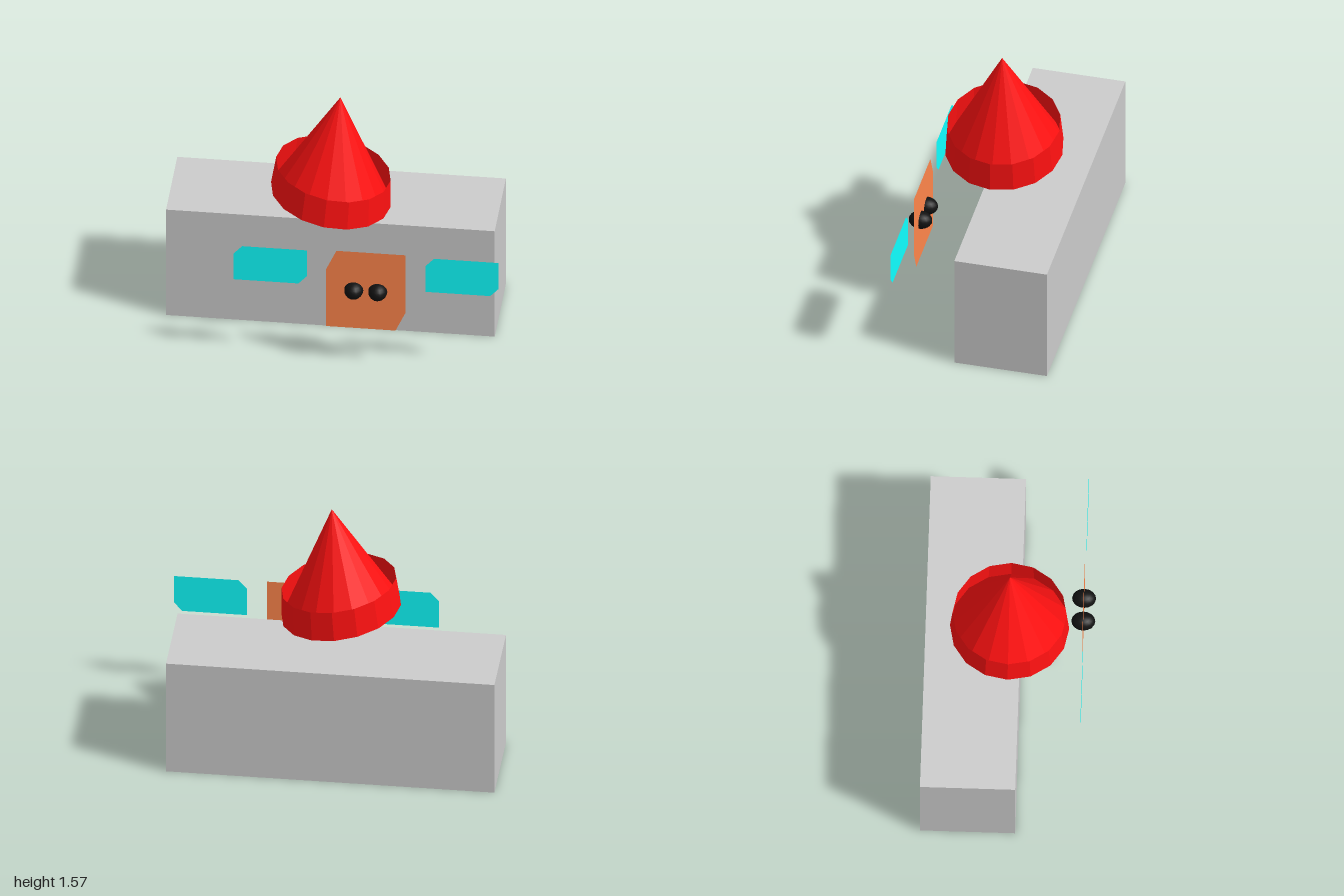
import * as THREE from 'three';

const material = (color, extra = {}) => {
  const m = new THREE.MeshStandardMaterial({ color, side: THREE.DoubleSide, ...extra });
  return m;
};

export function createModel() {
  const model = new THREE.Group();
  const red = material(0xff1111, { flatShading: true });
  const cyan = material(0x0fffff);
  const orange = material(0xff864b);
  const black = material(0x111111);

  const add = (name, geometry, mat) => {
    const mesh = new THREE.Mesh(geometry, mat);
    mesh.name = name;
    model.add(mesh);
    return mesh;
  };

  // Long block body
  const body = new THREE.BoxGeometry(1.93, 0.74, 0.556);
  add('body', body, new THREE.MeshStandardMaterial({ color: 0xcccccc }))
    .position.set(-0.035, 0.37, -0.214);

  // Flat panel with its top-left and bottom-right corners cut off
  const panel = (name, x0, x1, y0, y1, cutX, cutY, z, mat) => {
    const shape = new THREE.Shape([
      [x0, y0], [x1 - cutX, y0], [x1, y0 + cutY],
      [x1, y1], [x0 + cutX, y1], [x0, y1 - cutY],
    ].map(([x, y]) => new THREE.Vector2(x, y)));
    add(name, new THREE.ShapeGeometry(shape), mat).position.z = z;
  };
  panel('rightWindow', -0.56, -0.13, 0.53, 0.766, 0.05, 0.055, 0.43, cyan);
  panel('leftWindow', 0.567, 0.997, 0.53, 0.766, 0.05, 0.055, 0.43, cyan);
  panel('door', -0.017, 0.45, 0.24, 0.773, 0.06, 0.132, 0.424, orange);

  // Pair of knobs on the door
  for (const [name, x] of [['rightKnob', 0.145], ['leftKnob', 0.286]]) {
    const knob = add(name, new THREE.SphereGeometry(1, 16, 12), black);
    knob.scale.set(0.056, 0.052, 0.07);
    knob.position.set(x, 0.507, 0.424);
  }

  // Tilted, slightly skewed hat: unit shapes on a slanted base ring
  const slant = (geometry, axisX, axisY) => {
    geometry.translate(0, 0.5, 0);
    const m = new THREE.Matrix4().makeBasis(
      new THREE.Vector3(0.351, -0.06, 0),
      new THREE.Vector3(axisX, axisY, 0),
      new THREE.Vector3(0, 0, 0.348),
    ).setPosition(-0.04, 0.88, 0);
    return geometry.applyMatrix4(m);
  };
  add('hatCone', slant(new THREE.ConeGeometry(1, 1, 16), 0.056, 0.686), red);
  add('hatBrim', slant(new THREE.CylinderGeometry(0.957, 1, 1, 16, 1, true), 0.015, 0.182), red);

  return model;
}
